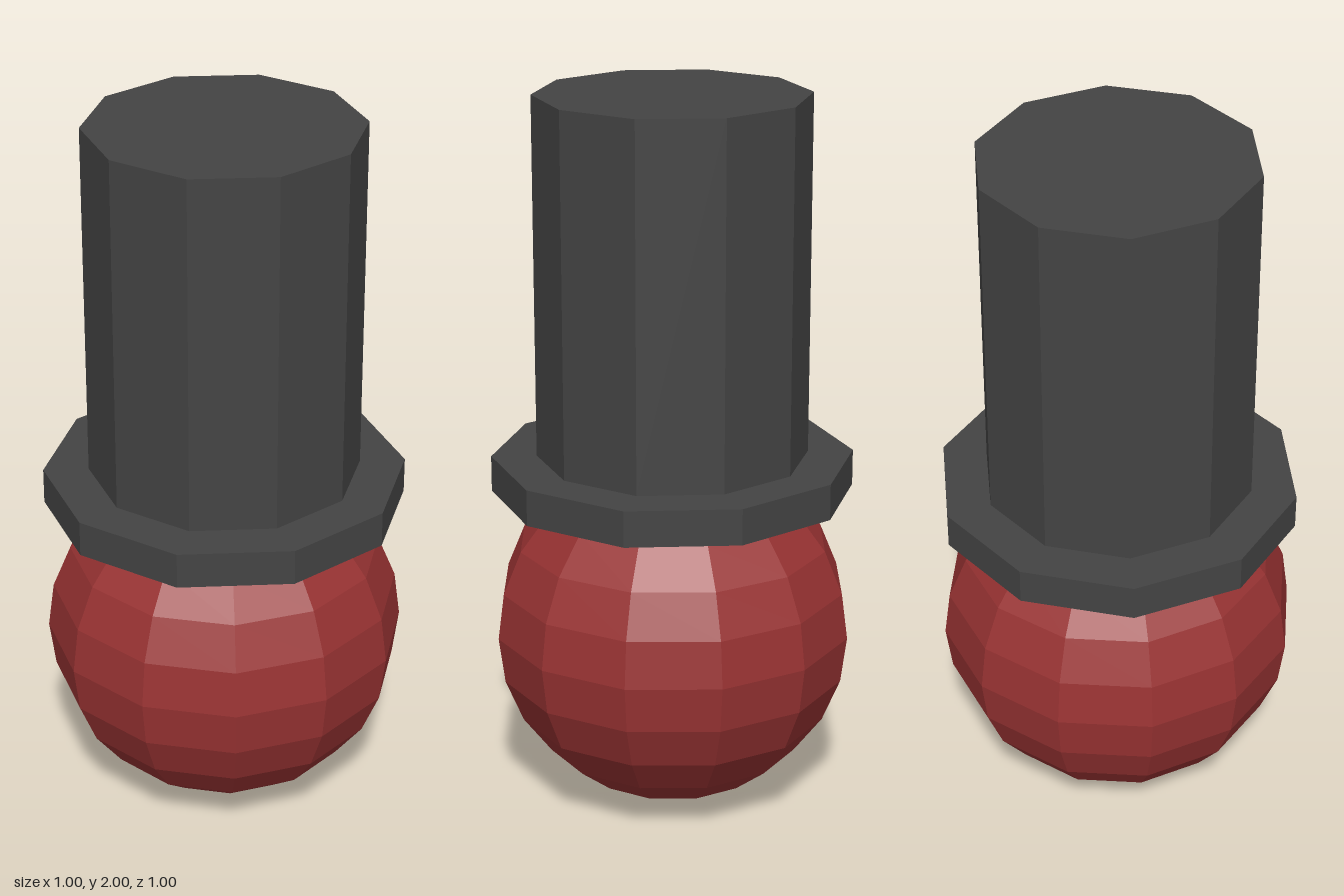
import * as THREE from 'three';

export function createModel() {
  const group = new THREE.Group();
  const black = new THREE.MeshStandardMaterial({ color: 0x444444, flatShading: true });
  const red = new THREE.MeshStandardMaterial({ color: 0x993333, flatShading: true });

  // Faceted ball, seam vertices on the axes
  const ball = new THREE.Mesh(new THREE.SphereGeometry(0.5, 12, 12), red);
  ball.name = 'ball';
  ball.position.y = 0.5;
  group.add(ball);

  // Ten-sided hat parts with corners on the x axis
  const addDrum = (name, radius, bottom, top) => {
    const drum = new THREE.Mesh(new THREE.CylinderGeometry(radius, radius, top - bottom, 10), black);
    drum.name = name;
    drum.position.y = (bottom + top) / 2;
    drum.rotation.y = Math.PI / 2;
    group.add(drum);
  };
  addDrum('hatBrim', 0.5, 0.9, 1);
  addDrum('hatCrown', 0.375, 1, 2);

  return group;
}
